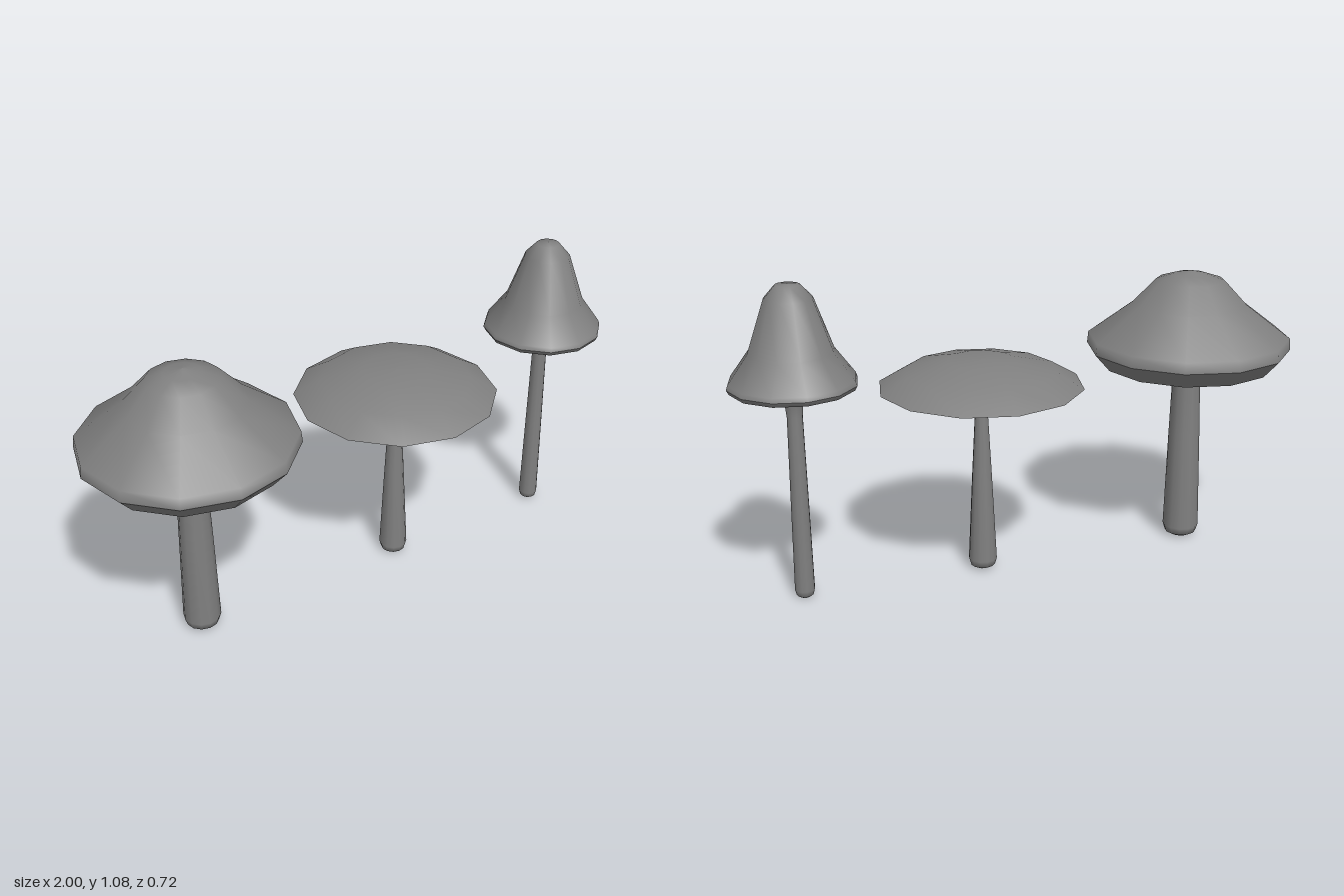
import * as THREE from 'three';

const material = new THREE.MeshStandardMaterial({ color: 0x808080, side: THREE.DoubleSide });

// Revolves a bottom-to-top [radius, height] profile into a smooth twelve-sided surface
function turned(name, profile) {
  const points = profile.map(([r, y]) => new THREE.Vector2(r, y));
  const mesh = new THREE.Mesh(new THREE.LatheGeometry(points, 12), material);
  mesh.name = name;
  return mesh;
}

// Cap surfaces are separate so that the edges between gills, lip and crown stay sharp
function mushroom(name, x, parts) {
  const group = new THREE.Group();
  group.name = name;
  for (const [part, profile] of Object.entries(parts)) group.add(turned(part, profile));
  group.position.x = x;
  return group;
}

export function createModel() {
  const model = new THREE.Group();
  model.name = 'mushrooms';

  // Broad domed mushroom with hollow gills
  model.add(mushroom('domedMushroom', -0.64, {
    stem: [[0, 0], [0.035, 0.002], [0.057, 0.014], [0.065, 0.04], [0.056, 0.4], [0.05, 0.6], [0.054, 0.68], [0.068, 0.74], [0.095, 0.785]],
    gills: [[0, 0.785], [0.095, 0.78], [0.2, 0.745], [0.307, 0.667]],
    lip: [[0.307, 0.667], [0.361, 0.728]],
    crown: [[0.361, 0.728], [0.357, 0.768], [0.2, 0.885], [0.12, 0.97], [0.06, 0.99], [0, 1.003]],
  }));

  // Flat, wide mushroom on a tapering stem
  model.add(mushroom('flatMushroom', 0.147, {
    stem: [[0, 0], [0.025, 0.002], [0.043, 0.012], [0.05, 0.036], [0.034, 0.36], [0.02, 0.62], [0.018, 0.72]],
    gills: [[0, 0.71], [0.12, 0.7], [0.275, 0.653]],
    lip: [[0.275, 0.653], [0.352, 0.672]],
    crown: [[0.352, 0.672], [0.26, 0.727], [0.115, 0.762], [0, 0.764]],
  }));

  // Slim bell mushroom with a flared stem top
  model.add(mushroom('bellMushroom', 0.785, {
    stem: [[0, 0], [0.018, 0.002], [0.029, 0.01], [0.034, 0.03], [0.03, 0.35], [0.026, 0.64], [0.031, 0.69], [0.046, 0.755]],
    gills: [[0, 0.755], [0.046, 0.753], [0.183, 0.733]],
    lip: [[0.183, 0.733], [0.204, 0.738], [0.212, 0.753]],
    crown: [[0.212, 0.753], [0.207, 0.768], [0.14, 0.86], [0.08, 1.03], [0.04, 1.075], [0, 1.079]],
  }));

  return model;
}
